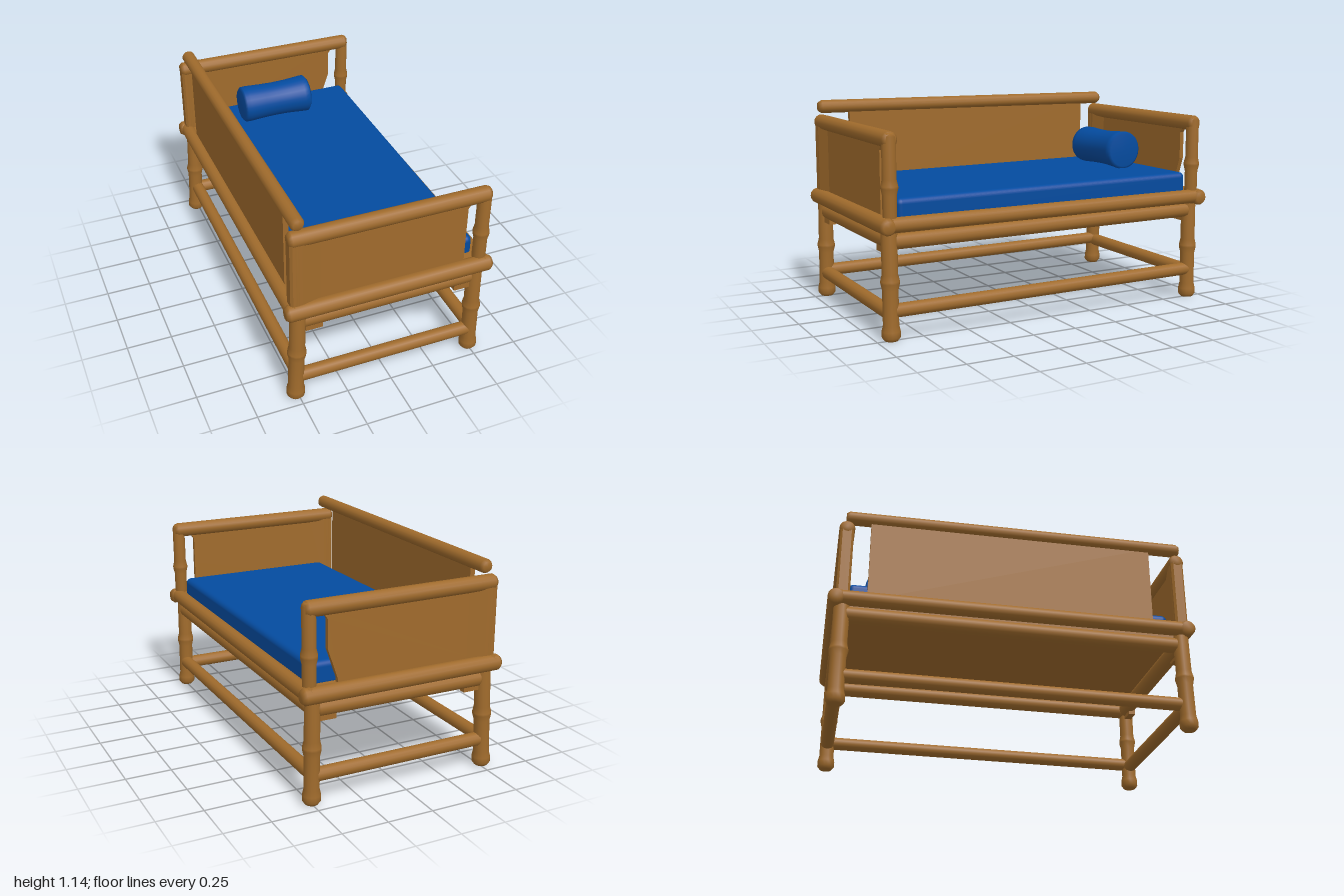
import * as THREE from 'three';
import { RoundedBoxGeometry } from 'three/addons/geometries/RoundedBoxGeometry.js';

const V = (x, y, z) => new THREE.Vector3(x, y, z);
const points = (list) => list.map(([x, y]) => new THREE.Vector2(x, y));
const extrude = (list, depth) =>
  new THREE.ExtrudeGeometry(new THREE.Shape(points(list)), { depth, bevelEnabled: false });

export function createModel() {
  const model = new THREE.Group();
  const wood = new THREE.MeshStandardMaterial({ color: 0xa06b2c });
  wood.name = 'bamboo brown';
  const cloth = new THREE.MeshStandardMaterial({ color: 0x044b9f });
  cloth.name = 'cushion blue';

  const add = (name, geometry, material, x = 0, y = 0, z = 0) => {
    const mesh = new THREE.Mesh(geometry, material);
    mesh.name = name;
    mesh.position.set(x, y, z);
    model.add(mesh);
    return mesh;
  };

  // Bamboo pole from a to b with rounded ends and swollen joints at the given fractions
  const pole = (name, a, b, r, joints = [], foot = 0) => {
    const length = a.distanceTo(b);
    const end = Math.min(0.018, r * 0.5);
    const rf = r + foot;
    const p = [[0, 0], [rf * 0.7, 0], [rf, end]];
    if (foot) p.push([rf, 0.05], [r, 0.08]);
    for (const t of joints) {
      const y = t * length;
      p.push([r, y - 0.04], [r + 0.008, y - 0.006], [r + 0.008, y + 0.006], [r, y + 0.04]);
    }
    p.push([r, length - end], [r * 0.7, length], [0, length]);
    const mesh = add(name, new THREE.LatheGeometry(points(p), 14), wood, a.x, a.y, a.z);
    mesh.quaternion.setFromUnitVectors(V(0, 1, 0), b.clone().sub(a).normalize());
  };

  const box = (name, x0, x1, y0, y1, z0, z1) =>
    add(name, new THREE.BoxGeometry(x1 - x0, y1 - y0, z1 - z0), wood,
      (x0 + x1) / 2, (y0 + y1) / 2, (z0 + z1) / 2);

  // Corner posts; the legs lean slightly
  for (const sz of [-1, 1]) {
    const z = sz > 0 ? 0.925 : -0.918;
    pole('leg', V(-0.515, 0, z), V(-0.493, 0.6, z), 0.042, [0.5], 0.007);
    pole('leg', V(0.498, 0, z), V(0.492, 0.6, z), 0.041, [0.5], 0.007);
    pole('upperPost', V(-0.505, 0.55, z), V(-0.505, 1.045, z), 0.037);
    pole('upperPost', V(0.508, 0.55, z), V(0.51, 1.045, z), 0.036, [0.46]);
  }

  // Plan of the sleeve that joins an end panel to its right-hand post
  const sleeve = [[-0.542, 0.024], [-0.53, 0.035], [-0.48, 0.035], [-0.38, 0.012],
    [-0.38, -0.012], [-0.48, -0.035], [-0.53, -0.035], [-0.542, -0.024]];

  // Ends: seat rail, apron, stretcher, arm rail and panel
  for (const s of [-1, 1]) {
    const z = s > 0 ? 0.925 : -0.918;
    pole('endSeatRail', V(-0.57, 0.587, 0.95 * s), V(0.567, 0.587, 0.95 * s), 0.044);
    pole('endApron', V(-0.48, 0.502, 0.915 * s), V(0.48, 0.506, 0.915 * s), 0.044);
    const y = s > 0 ? 0.138 : 0.153;
    pole('endStretcher', V(-0.5, y, z), V(0.5, y, z), 0.037);
    pole('armRail', V(-0.543, 1.014, z), V(0.537, 1.011, z), 0.042);

    // The rear panel narrows toward the seat
    const foot = s > 0 ? 0.415 : 0.36;
    const face = [[-0.5, 0.59], [foot, 0.59], [foot, 0.64], [0.415, 0.8], [0.415, 0.95],
      [0.44, 0.985], [0.44, 1.01], [-0.5, 1.01]];
    add('endPanel', extrude(face, 0.024), wood, 0, 0, z - 0.012);
    add('panelSleeve', extrude(sleeve, 0.42), wood, 0, 1.01, z).rotation.x = Math.PI / 2;
    for (const sx of [-1, 1]) {
      box('bracket', sx * 0.415 - 0.045, sx * 0.415 + 0.045, 0.442, 0.49, z - 0.02, z + 0.02);
    }
  }

  // Long sides: seat rail, apron and stretcher
  for (const s of [-1, 1]) {
    pole('sideSeatRail', V(0.525 * s, 0.59, 0.98), V(0.525 * s, 0.592, -0.98), 0.04);
    pole('sideApron', V(0.49 * s, 0.502, 0.91), V(0.49 * s, 0.512, -0.91), 0.042);
    pole('sideStretcher', V(0.5 * s, 0.152, 0.92), V(0.5 * s, 0.165, -0.92), 0.036);
  }

  // Backrest along the right side
  pole('backRail', V(-0.495, 1.102, 0.95), V(-0.49, 1.096, -0.925), 0.037);
  box('backPanel', -0.507, -0.479, 0.6, 1.09, -0.79, 0.77);

  // Bed base, mattress and bolster
  box('bedBase', -0.5, 0.5, 0.535, 0.62, -0.92, 0.92);
  const mattress = add('mattress', new RoundedBoxGeometry(0.94, 0.13, 1.77, 4, 0.03), cloth, 0.025, 0.656, -0.005);
  mattress.rotation.x = 0.008;

  const bolsterProfile = [[0, 0], [0.092, 0], [0.106, 0.012], [0.107, 0.04], [0.102, 0.13],
    [0.1, 0.21], [0.102, 0.29], [0.109, 0.38], [0.11, 0.408], [0.095, 0.42], [0, 0.42]];
  const bolster = add('bolster', new THREE.LatheGeometry(points(bolsterProfile), 28),
    cloth, -0.242, 0.832, -0.683);
  bolster.rotation.z = -Math.PI / 2;

  return model;
}
